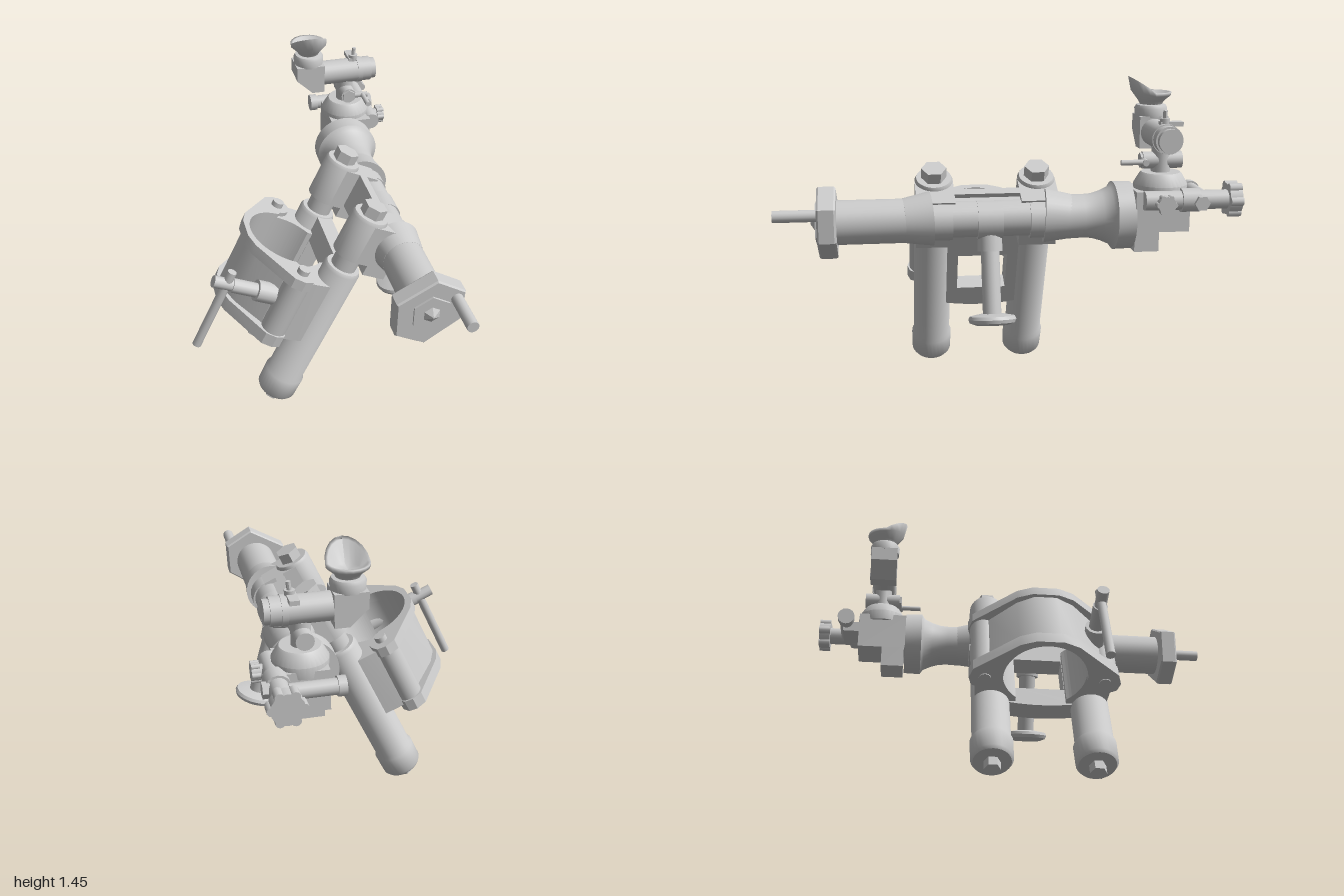
import * as THREE from 'three';
import { toCreasedNormals } from 'three/addons/utils/BufferGeometryUtils.js';

const smooth = new THREE.MeshStandardMaterial({ color: 0xcccccc });
const flat = new THREE.MeshStandardMaterial({ color: 0xcccccc, flatShading: true });
const thin = new THREE.MeshStandardMaterial({ color: 0xcccccc, side: THREE.DoubleSide });
const V = (a) => new THREE.Vector3(...a);

function add(parent, name, geo, pos = [0, 0, 0], mat = smooth) {
  const m = new THREE.Mesh(geo, mat);
  m.name = name;
  m.position.set(...pos);
  parent.add(m);
  return m;
}
function box(parent, name, min, max) {
  const s = max.map((v, i) => v - min[i]);
  return add(parent, name, new THREE.BoxGeometry(...s), min.map((v, i) => v + s[i] / 2));
}
// Cylinder or prism running from a to b
function rod(parent, name, a, b, r, sides = 24, r2 = r) {
  const d = V(b).sub(V(a));
  const m = add(parent, name, new THREE.CylinderGeometry(r2, r, d.length(), sides), [0, 0, 0], sides < 9 ? flat : smooth);
  m.position.copy(V(a)).addScaledVector(d, 0.5);
  m.quaternion.setFromUnitVectors(new THREE.Vector3(0, 1, 0), d.normalize());
  return m;
}
function lathe(points, sides = 32) {
  return toCreasedNormals(new THREE.LatheGeometry(points.map((p) => new THREE.Vector2(...p)), sides), 0.6);
}
// Shape in the (x, -z) plane raised from y0 to y1
function slab(parent, name, shape, y0, y1) {
  const g = new THREE.ExtrudeGeometry(shape, { depth: y1 - y0, bevelEnabled: false, curveSegments: 24 });
  g.rotateX(-Math.PI / 2);
  return add(parent, name, toCreasedNormals(g, 0.5), [0, y0, 0]);
}

// Twin legs, cradle and clamp, in a frame whose y runs along the legs
function buildLegs() {
  const g = new THREE.Group();
  g.name = 'legFrame';
  g.position.set(-0.212, 0.062, 0.08);
  g.rotation.z = THREE.MathUtils.degToRad(-25);

  for (const s of [-1, 1]) {
    const z = 0.23 * s;
    add(g, 'legTube', lathe([[0, 0], [0.085, 0], [0.095, 0.015], [0.097, 0.115], [0.088, 0.13],
      [0.088, 0.76], [0.08, 0.775], [0.06, 0.775], [0.06, 0.85], [0.085, 0.85], [0.085, 1.05], [0.078, 1.065], [0, 1.065]]), [0, 0, z]);
    rod(g, 'footBolt', [0, -0.045, z], [0, 0.01, z], 0.038, 6);
    rod(g, 'topBolt', [0, 1.06, z], [0, 1.115, z], 0.056, 6);
    box(g, 'bracketArm', [0, 0.85, z - 0.085], [0.17, 1.05, z + 0.085]);
    box(g, 'bracketCheek', [0.06, 0.8, z - 0.085], [0.17, 0.9, z + 0.085]);
  }
  box(g, 'bracketBeam', [0.07, 0.87, -0.23], [0.16, 1.03, 0.23]);
  box(g, 'bracketRib', [0.07, 1.02, -0.3], [0.11, 1.05, 0.3]);

  // Web plate between the legs, with a window
  const web = new THREE.Shape();
  web.moveTo(-0.23, 0.77);
  web.lineTo(-0.23, 0.37);
  web.quadraticCurveTo(0, 0.31, 0.23, 0.37);
  web.lineTo(0.23, 0.77);
  const win = new THREE.Path();
  win.moveTo(-0.115, 0.45);
  win.lineTo(-0.115, 0.65);
  win.lineTo(0.115, 0.65);
  win.lineTo(0.115, 0.45);
  win.closePath();
  web.holes.push(win);
  const webGeo = new THREE.ExtrudeGeometry(web, { depth: 0.085, bevelEnabled: false });
  webGeo.rotateY(Math.PI / 2);
  add(g, 'webPlate', toCreasedNormals(webGeo, 0.5), [-0.025, 0, 0]);

  // Fixed cradle cheeks around the ring opening
  const R = 0.19, C = -0.2, end = Math.acos(0.15 / R);
  for (const s of [-1, 1]) {
    const cheek = new THREE.Shape();
    cheek.moveTo(C, s * R);
    cheek.absarc(C, 0, R, s * Math.PI / 2, s * (Math.PI / 2 - (Math.PI / 2 - end)), s > 0);
    cheek.lineTo(0, s * 0.117);
    cheek.lineTo(0, s * 0.3);
    cheek.lineTo(-0.11, s * 0.31);
    cheek.lineTo(C, s * 0.31);
    slab(g, 'cradleCheek', cheek, 0.36, 0.69);
    rod(g, 'hingeColumn', [-0.19, 0.35, s * 0.27], [-0.19, 0.71, s * 0.27], 0.062);
    rod(g, 'hingePin', [-0.19, 0.32, s * 0.27], [-0.19, 0.735, s * 0.27], 0.028, 12);
  }

  // Hinged outer half: two flanges and a recessed band
  const half = (pts) => {
    const sh = new THREE.Shape();
    sh.moveTo(C, R);
    for (const [x, y] of pts) sh.lineTo(x, y);
    for (const [x, y] of [...pts].reverse()) sh.lineTo(x, -y);
    sh.lineTo(C, -R);
    sh.absarc(C, 0, R, -Math.PI / 2, -Math.PI * 1.5, true);
    return sh;
  };
  const flange = half([[-0.13, 0.29], [-0.15, 0.33], [-0.19, 0.342], [-0.24, 0.325], [-0.39, 0.13], [-0.415, 0.06]]);
  slab(g, 'clampFlangeLower', flange, 0.325, 0.385);
  slab(g, 'clampFlangeUpper', flange, 0.66, 0.71);
  slab(g, 'clampBand', half([[C, 0.26], [-0.25, 0.25], [-0.36, 0.13], [-0.4, 0.05]]), 0.38, 0.665);

  // Locking screw with its cross handle
  const h = 0.23;
  rod(g, 'screwHub', [-0.2, 0.54, h], [-0.34, 0.54, h], 0.05, 16);
  rod(g, 'screwShank', [-0.33, 0.54, h], [-0.46, 0.54, h], 0.034, 16);
  rod(g, 'screwEnd', [-0.45, 0.54, h], [-0.55, 0.54, h], 0.028, 12);
  rod(g, 'crossHandle', [-0.485, 0.175, h], [-0.485, 0.61, h], 0.021, 12);
  return g;
}

// Horizontal bar with its end plate, crank and lever
function buildCrossbar() {
  const g = new THREE.Group();
  g.name = 'crossbar';
  g.position.set(0.35, 0.86, 0);
  const bar = lathe([[0, -0.555], [0.15, -0.555], [0.152, -0.475], [0.13, -0.46], [0.112, -0.42], [0.1, -0.38],
    [0.097, -0.34], [0.1, -0.25], [0.08, -0.24], [0.08, 0.39], [0.097, 0.4], [0.097, 0.75], [0, 0.75]], 40);
  bar.rotateX(Math.PI / 2);
  add(g, 'barTube', bar);
  for (const [a, b] of [[0.24, 0.36], [0.02, 0.13], [-0.2, -0.1]]) rod(g, 'barCollar', [0.005, -0.005, a], [0.005, -0.005, b], 0.085);
  for (const s of [-1, 1]) {
    const c = 0.08 + s * 0.35;
    rod(g, 'bracketFlare', [-0.01, 0.005, c - s * 0.1], [0, 0, c + s * 0.02], 0.12, 32, 0.098);
  }

  const plate = new THREE.Shape([[0.02, 0.157], [0.14, 0.085], [0.135, -0.055], [-0.02, -0.16], [-0.145, -0.095], [-0.145, 0.065]]
    .map((p) => new THREE.Vector2(...p)).reverse());
  add(g, 'endPlate', new THREE.ExtrudeGeometry(plate, { depth: 0.065, bevelSize: 0.006, bevelThickness: 0.008, bevelSegments: 1 }), [0, 0, 0.745], flat);
  rod(g, 'endNut', [0, 0, 0.81], [0, 0, 0.828], 0.09, 6);
  rod(g, 'endPoint', [0, 0, 0.82], [0, 0, 0.85], 0.052, 6, 0.004);
  rod(g, 'crankGrip', [0.108, 0.058, 0.81], [0.108, 0.058, 1], 0.026, 16);

  // Lever with a round foot
  rod(g, 'leverSocket', [0.01, -0.04, 0.075], [0.034, -0.14, 0.075], 0.055, 16);
  rod(g, 'leverRod', [0.015, -0.06, 0.075], [0.115, -0.42, 0.075], 0.041, 20);
  const foot = add(g, 'leverFoot', lathe([[0, -0.025], [0.075, -0.025], [0.1, -0.015], [0.106, 0], [0.1, 0.014], [0.05, 0.024], [0, 0.024]]), [0.117, -0.427, 0.075]);
  foot.rotation.z = 0.27;
  return g;
}

// Sight mount, elbow telescope and eyecup
function buildSight() {
  const g = new THREE.Group();
  g.name = 'sight';
  const z = -0.68;
  box(g, 'mountBody', [0.29, 0.81, -0.79], [0.49, 0.99, -0.55]);
  box(g, 'mountFoot', [0.29, 0.71, -0.67], [0.44, 0.83, -0.56]);
  add(g, 'turntable', lathe([[0, 0.96], [0.115, 0.96], [0.118, 1.01], [0.092, 1.055], [0.085, 1.062], [0, 1.062]]), [0.39, 0, z]);

  // Adjusting shafts and knobs
  const lobedKnob = (name, a, b, r) => {
    const k = new THREE.Group();
    k.name = name;
    rod(k, 'knobCore', [0, 0, 0], [0, 0, b - a], r * 0.85, 16);
    for (let i = 0; i < 6; i++) {
      const t = i * Math.PI / 3, x = r * 0.77 * Math.cos(t), y = r * 0.77 * Math.sin(t);
      rod(k, 'knobLobe', [x, y, 0], [x, y, b - a], r * 0.25, 10);
    }
    k.position.z = a;
    g.add(k);
    return k;
  };
  lobedKnob('rearKnob', -1, -0.945, 0.08).position.set(0.5, 0.955, -1);
  rod(g, 'rearShaft', [0.505, 0.955, -0.96], [0.505, 0.955, -0.58], 0.042, 20);
  rod(g, 'rearCollar', [0.505, 0.955, -0.82], [0.505, 0.955, -0.74], 0.052, 16);
  rod(g, 'sideShaft', [0.44, 0.95, -0.66], [0.56, 0.95, -0.66], 0.03, 12);
  const side = lobedKnob('sideKnob', -0.035, 0, 0.045);
  side.position.set(0.553, 0.95, -0.66);
  side.rotation.y = Math.PI / 2;
  rod(g, 'sideStud', [0.5, 0.95, -0.82], [0.57, 0.95, -0.82], 0.034, 6);
  rod(g, 'levelVial', [0.25, 0.95, -0.855], [0.47, 0.95, -0.855], 0.034, 16);
  rod(g, 'levelVialCap', [0.245, 0.95, -0.855], [0.28, 0.95, -0.855], 0.042, 16);
  box(g, 'levelBracket', [0.31, 0.9, -0.87], [0.46, 0.95, -0.77]);

  // Tilting joint carrying the telescope
  rod(g, 'jointPost', [0.385, 1.05, z], [0.385, 1.17, z], 0.042, 16);
  rod(g, 'jointBarrel', [0.385, 1.112, -0.77], [0.385, 1.112, -0.595], 0.038, 16);
  rod(g, 'jointNut', [0.385, 1.112, -0.61], [0.385, 1.112, -0.585], 0.034, 6);
  rod(g, 'jointArm', [0.4, 1.112, -0.6], [0.48, 1.115, -0.59], 0.014, 10);
  rod(g, 'jointHandle', [0.455, 1.115, -0.6], [0.455, 1.115, -0.485], 0.012, 10);

  // Telescope and elbow prism housing
  rod(g, 'telescopeTube', [0.25, 1.215, z], [0.51, 1.215, z], 0.06, 28);
  rod(g, 'telescopeRing', [0.5, 1.215, z], [0.535, 1.215, z], 0.052, 28);
  rod(g, 'telescopeBand', [0.44, 1.215, z], [0.465, 1.215, z], 0.064, 28);
  rod(g, 'telescopeStud', [0.425, 1.26, z], [0.425, 1.3, z], 0.022, 10);
  rod(g, 'telescopePin', [0.425, 1.29, z], [0.43, 1.335, z], 0.01, 8);
  box(g, 'openSightBar', [0.4, 1.265, -0.76], [0.44, 1.285, -0.66]);
  const elbow = new THREE.Shape([[0.122, 1.285], [0.122, 1.215], [0.2, 1.142], [0.262, 1.142], [0.262, 1.285]].map((p) => new THREE.Vector2(...p)));
  add(g, 'elbowHousing', new THREE.ExtrudeGeometry(elbow, { depth: 0.13, bevelEnabled: false }), [0, 0, z - 0.065], flat);
  add(g, 'eyepiece', lathe([[0, 1.28], [0.072, 1.28], [0.074, 1.318], [0.066, 1.332], [0.05, 1.335], [0.05, 1.36], [0, 1.36]]), [0.193, 0, z]);

  // Eyecup: a flared bowl whose rim rises towards the front
  const cup = new THREE.LatheGeometry([[0.05, 1.335], [0.058, 1.35], [0.088, 1.375], [0.09, 1.39], [0.078, 1.39], [0.05, 1.365], [0, 1.36]]
    .map((p) => new THREE.Vector2(...p)), 20);
  const p = cup.attributes.position;
  for (let i = 0; i < p.count; i++) {
    const lift = Math.max(0, p.getY(i) - 1.368) / 0.022;
    const f = Math.max(0, p.getZ(i) / 0.09);
    p.setY(i, p.getY(i) + lift * 0.07 * f);
    p.setZ(i, p.getZ(i) * (1 + 0.2 * lift * f));
  }
  cup.computeVertexNormals();
  add(g, 'eyecup', cup, [0.193, 0, z], thin);
  return g;
}

export function createModel() {
  const model = new THREE.Group();
  model.name = 'supportMount';
  model.add(buildLegs(), buildCrossbar(), buildSight());
  return model;
}
